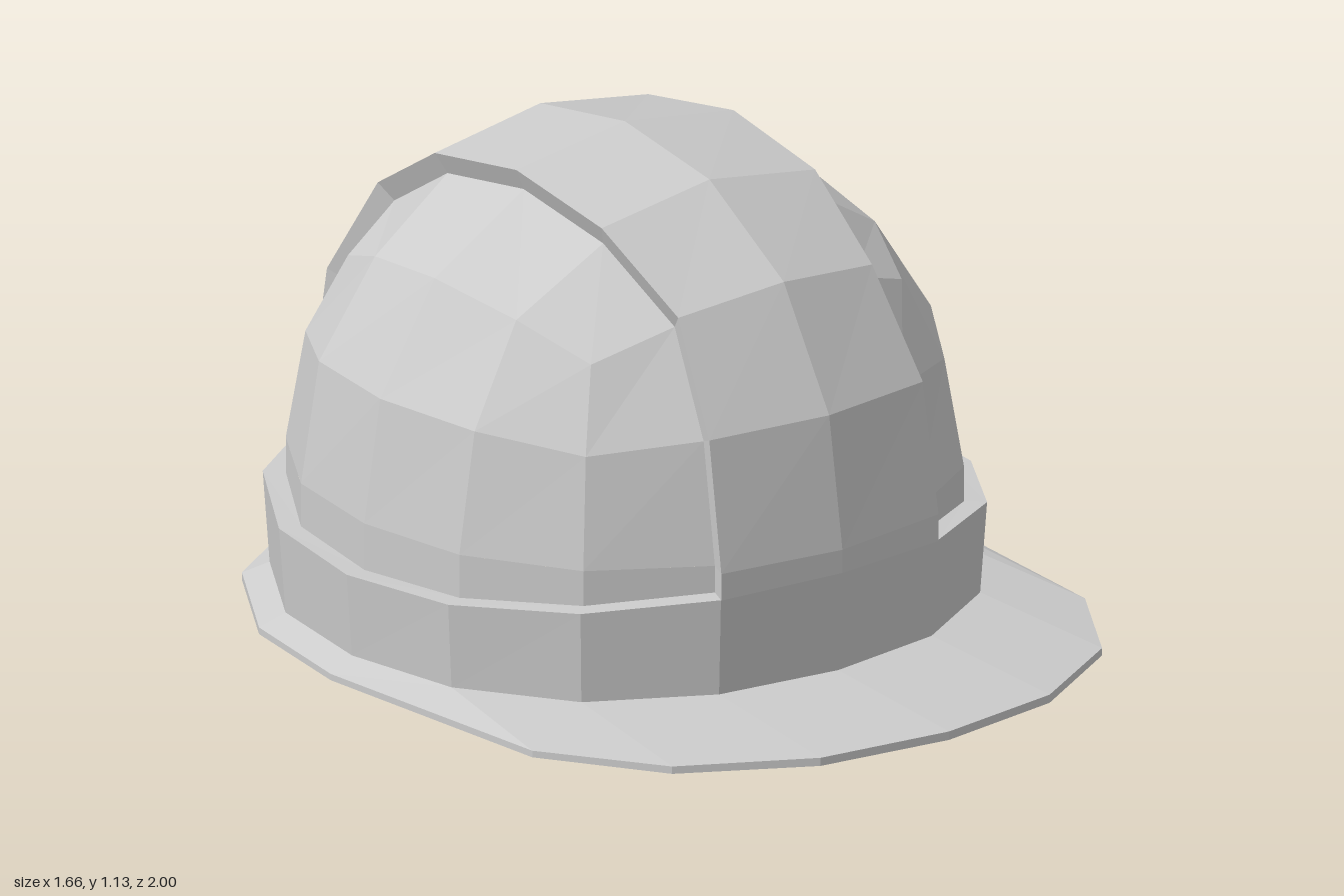
import * as THREE from 'three';

const CENTRE_Z = -0.17, EQUATOR = 0.35, FULLNESS = 0.033;
const R_IN = 0.69, R_DOME = 0.735, R_RIDGE = 0.785, R_BRIM = 0.83;
const material = new THREE.MeshStandardMaterial({ color: 0xcccccc, flatShading: true });

// Quad sheet from fn(col, row) -> [x, y, z]
function grid(cols, rows, fn) {
  const pos = [], idx = [];
  for (let r = 0; r <= rows; r++) for (let c = 0; c <= cols; c++) pos.push(...fn(c, r));
  for (let r = 0; r < rows; r++) for (let c = 0; c < cols; c++) {
    const a = r * (cols + 1) + c, d = a + cols + 1;
    idx.push(a, a + 1, d + 1, a, d + 1, d);
  }
  const g = new THREE.BufferGeometry();
  g.setAttribute('position', new THREE.Float32BufferAttribute(pos, 3));
  g.setIndex(idx);
  g.computeVertexNormals();
  return g;
}

// Point of a rounded cube (cube coordinates in steps of 0.5), a little fuller than a sphere off the axes
function spherePoint(x, y, z, r) {
  const bend = (c, a, b) => Math.abs(c) === 0.5 ? Math.sign(c) * (0.414 + 0.09 * (a * b) ** 2) : c;
  const v = new THREE.Vector3(bend(x, y, z), bend(y, x, z), bend(z, x, y)).normalize();
  const [a, b, c] = [v.x ** 2, v.y ** 2, v.z ** 2];
  v.multiplyScalar(r * (1 + FULLNESS * Math.min(1, 4 * (a * b + b * c + c * a))));
  return [v.x, v.y + EQUATOR, v.z + CENTRE_Z];
}

// Upper half of a rounded cube; side -1 turns it to face inward
function dome(r, side = 1) {
  const box = new THREE.BoxGeometry(2, 2, 2, 4, 4, 4).toNonIndexed().attributes.position;
  const pos = [];
  for (let i = 0; i < box.count; i += 3) {
    if (Math.min(box.getY(i), box.getY(i + 1), box.getY(i + 2)) < 0) continue;
    for (let j = i; j < i + 3; j++) pos.push(...spherePoint(side * box.getX(j), box.getY(j), box.getZ(j), r));
  }
  const g = new THREE.BufferGeometry();
  g.setAttribute('position', new THREE.Float32BufferAttribute(pos, 3));
  g.computeVertexNormals();
  return g;
}

// 16-sided ring wall; profile rows are [radius, height, rise at front and back, forward shift]
function ring(profile) {
  return grid(16, profile.length - 1, (c, r) => {
    const t = c * Math.PI / 8, [radius, y, rise = 0, shift = 0] = profile[r];
    const cos = Math.cos(t), rad = radius * (1 + FULLNESS * Math.sin(2 * t) ** 2);
    return [rad * Math.sin(t), y + rise * cos * cos, CENTRE_Z + rad * cos + (cos > 0.01 ? shift : 0)];
  });
}

// Raised strip running front to back over the dome, with side walls
function ridge() {
  const across = [[-0.5, R_DOME - 0.01], [-0.5, R_RIDGE + 0.003], [0, R_RIDGE], [0.5, R_RIDGE + 0.003], [0.5, R_DOME - 0.01]];
  return grid(4, 10, (c, row) => {
    const k = THREE.MathUtils.clamp(row - 1, 0, 8);
    const y = Math.min(1, Math.min(k, 8 - k) / 2);
    const z = THREE.MathUtils.clamp((4 - k) / 2, -1, 1);
    const p = spherePoint(across[c][0], y, z, across[c][1]);
    if (row === 0 || row === 10) p[1] = across[c][0] ? 0.287 : 0.295;
    return p;
  });
}

export function createModel() {
  const group = new THREE.Group();
  const add = (name, geometry) => {
    const mesh = new THREE.Mesh(geometry, material);
    mesh.name = name;
    group.add(mesh);
  };

  // Outer shell
  add('dome', dome(R_DOME));
  add('domeWall', ring([[R_DOME, 0.24, 0.055], [R_DOME, EQUATOR]]));
  add('ridge', ridge());

  // Band around the base, with its top ledge
  add('band', ring([[0.77, 0.045, 0.015], [R_RIDGE, 0.24, 0.055], [R_DOME, 0.24, 0.055]]));

  // Brim, drawn forward into a peak: underside, edge and top
  add('brim', ring([
    [R_DOME, 0.005, 0.012], [R_BRIM, 0, 0.013, 0.34],
    [R_BRIM, 0.015, 0.018, 0.34], [0.77, 0.045, 0.015],
  ]));

  // Inside lining
  add('innerWall', ring([[R_IN, EQUATOR], [R_IN, 0.045, 0.015], [R_DOME, 0.005, 0.012]]));
  add('innerDome', dome(R_IN, -1));

  return group;
}
